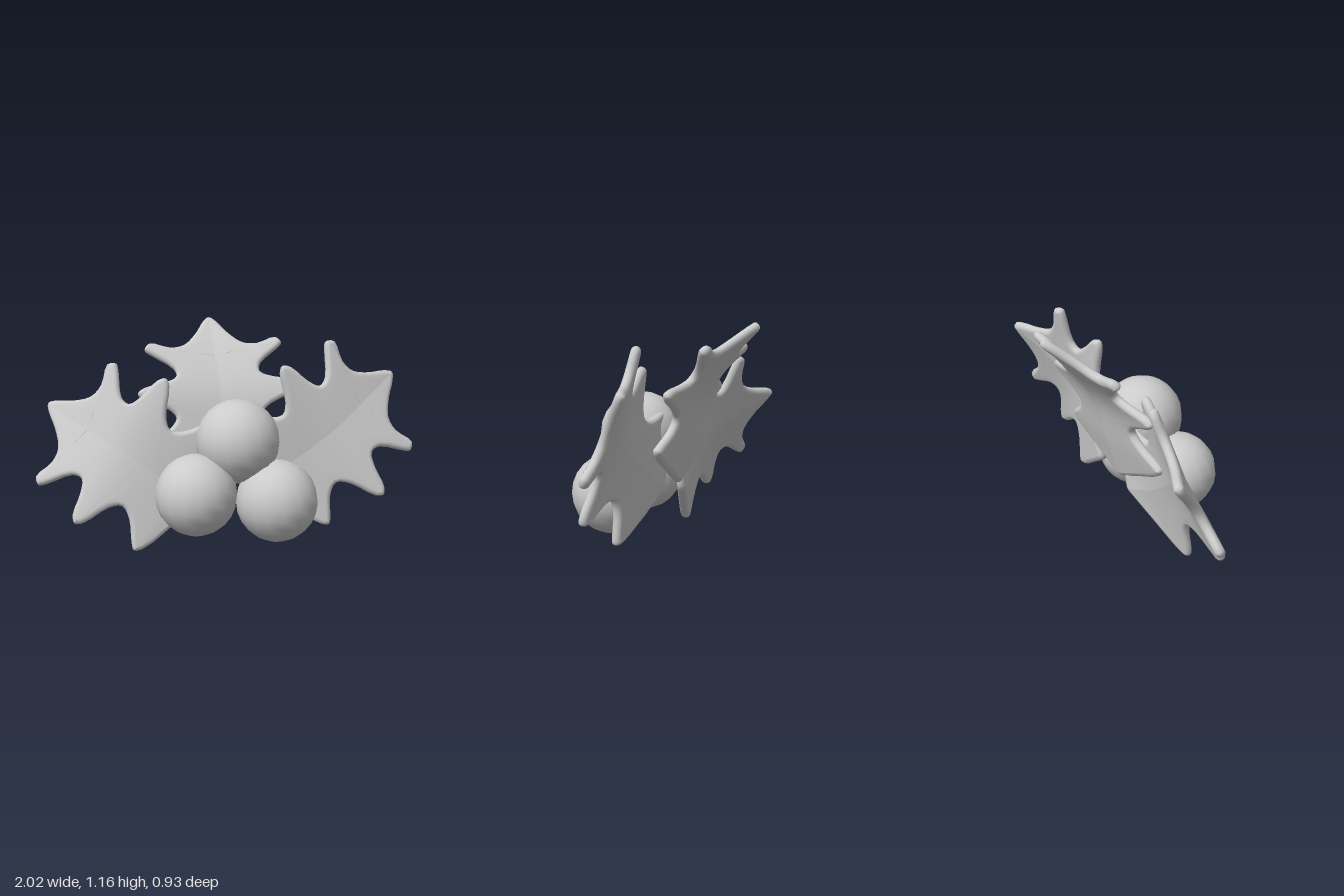
import * as THREE from 'three';

// Half outline of a spiny leaf: [distance from base, distance from midrib]
const HALF = [
  [0.02, 0.06], [0.08, 0.2], [0.155, 0.37], [0.19, 0.4], [0.225, 0.37], [0.3, 0.27], [0.36, 0.235],
  [0.41, 0.28], [0.475, 0.42], [0.51, 0.445], [0.54, 0.41], [0.565, 0.3], [0.6, 0.23], [0.65, 0.24],
  [0.74, 0.35], [0.775, 0.38], [0.81, 0.35], [0.785, 0.24], [0.8, 0.16], [0.87, 0.09], [0.95, 0.04],
];
const KNOTS = [0, 0.19, 0.51, 0.78, 0.98]; // outline distances matching the rib points
const EDGE = 0.025; // half thickness of the leaf
const FOLD = 0.07; // how far the halves rise from the midrib

const material = () => new THREE.MeshStandardMaterial({ color: 0xcccccc, roughness: 0.7 });

// Closed leaf outline, evenly sampled
function leafOutline(samples) {
  const pts = [[0, 0], ...HALF, [0.985, 0], ...HALF.map(([a, v]) => [a, -v]).reverse()];
  const curve = new THREE.CatmullRomCurve3(pts.map(([a, v]) => new THREE.Vector3(a, v, 0)), true);
  return Array.from({ length: samples }, (_, i) => curve.getPoint(i / samples));
}

// Solid leaf bent along a rib curve, with a rounded edge and a creased midrib
function leafGeometry(ribPoints, acrossDir) {
  const rib = new THREE.CatmullRomCurve3(ribPoints.map((p) => new THREE.Vector3(...p)));
  const across = new THREE.Vector3(...acrossDir).normalize();

  const place = (a, v, h) => {
    let k = 0;
    while (k < 3 && a > KNOTS[k + 1]) k++;
    const u = THREE.MathUtils.clamp((k + (a - KNOTS[k]) / (KNOTS[k + 1] - KNOTS[k])) / 4, 0, 1);
    const normal = rib.getTangent(u).cross(across).normalize();
    return rib.getPoint(u).addScaledVector(across, v).addScaledVector(normal, h + FOLD * Math.abs(v));
  };

  // Layers run from the front midrib, round the edge, to the back midrib
  const layers = [];
  for (const f of [0, 0.3, 0.65]) layers.push({ f, inset: EDGE, h: EDGE });
  for (let j = 0; j <= 6; j++) {
    const t = Math.PI * (0.5 - j / 6);
    layers.push({ f: 1, inset: EDGE * (1 - Math.cos(t)), h: EDGE * Math.sin(t) });
  }
  for (const f of [0.65, 0.3, 0]) layers.push({ f, inset: EDGE, h: -EDGE });

  const outline = leafOutline(132);
  const n = outline.length;
  const positions = [];
  const index = [];
  layers.forEach(({ f, inset, h }, j) => {
    outline.forEach((p, i) => {
      const d = outline[(i + 1) % n].clone().sub(outline[(i + n - 1) % n]).normalize();
      const a = p.x + d.y * inset;
      const v = p.y - d.x * inset;
      const foot = THREE.MathUtils.clamp(p.x - 0.3 * Math.abs(p.y), EDGE, 0.95);
      const q = place(THREE.MathUtils.lerp(foot, a, f), v * f, h);
      positions.push(q.x, q.y, q.z);
      if (j < layers.length - 1) {
        const i2 = (i + 1) % n;
        const A = j * n + i, B = j * n + i2, C = A + n, D = B + n;
        index.push(A, B, C, B, D, C);
      }
    });
  });
  const geometry = new THREE.BufferGeometry();
  geometry.setAttribute('position', new THREE.Float32BufferAttribute(positions, 3));
  geometry.setIndex(index);
  geometry.computeVertexNormals();
  return geometry;
}

export function createModel() {
  const model = new THREE.Group();
  model.name = 'hollySprig';
  const add = (name, geometry) => {
    const mesh = new THREE.Mesh(geometry, material());
    mesh.name = name;
    model.add(mesh);
    return mesh;
  };

  // Leaves: rib points from base to tip, then the direction across the leaf
  add('leftLeaf', leafGeometry(
    [[0.14, 0.31, 0], [0.29, 0.41, 0.03], [0.545, 0.6, 0.055], [0.755, 0.765, -0.03], [0.92, 0.88, -0.13]],
    [-0.62, 0.79, -0.08]));
  add('rightLeaf', leafGeometry(
    [[-0.12, 0.26, 0], [-0.3, 0.33, 0.03], [-0.57, 0.515, 0], [-0.785, 0.635, -0.13], [-0.94, 0.73, -0.26]],
    [-0.5, -0.73, 0.15]));
  add('backLeaf', leafGeometry(
    [[-0.06, 0.31, 0], [-0.05, 0.52, -0.06], [-0.03, 0.8, -0.14], [-0.045, 1.01, -0.29], [-0.05, 1.16, -0.45]],
    [-1, -0.03, 0.05]));

  // Berries
  [
    ['topBerry', 0.02, 0.585, 0.17, 0.217],
    ['rightBerry', -0.205, 0.33, 0.25, 0.21],
    ['leftBerry', 0.21, 0.285, 0.255, 0.212],
  ].forEach(([name, x, y, z, r]) => {
    add(name, new THREE.SphereGeometry(r, 16, 12)).position.set(x, y, z);
  });

  return model;
}
